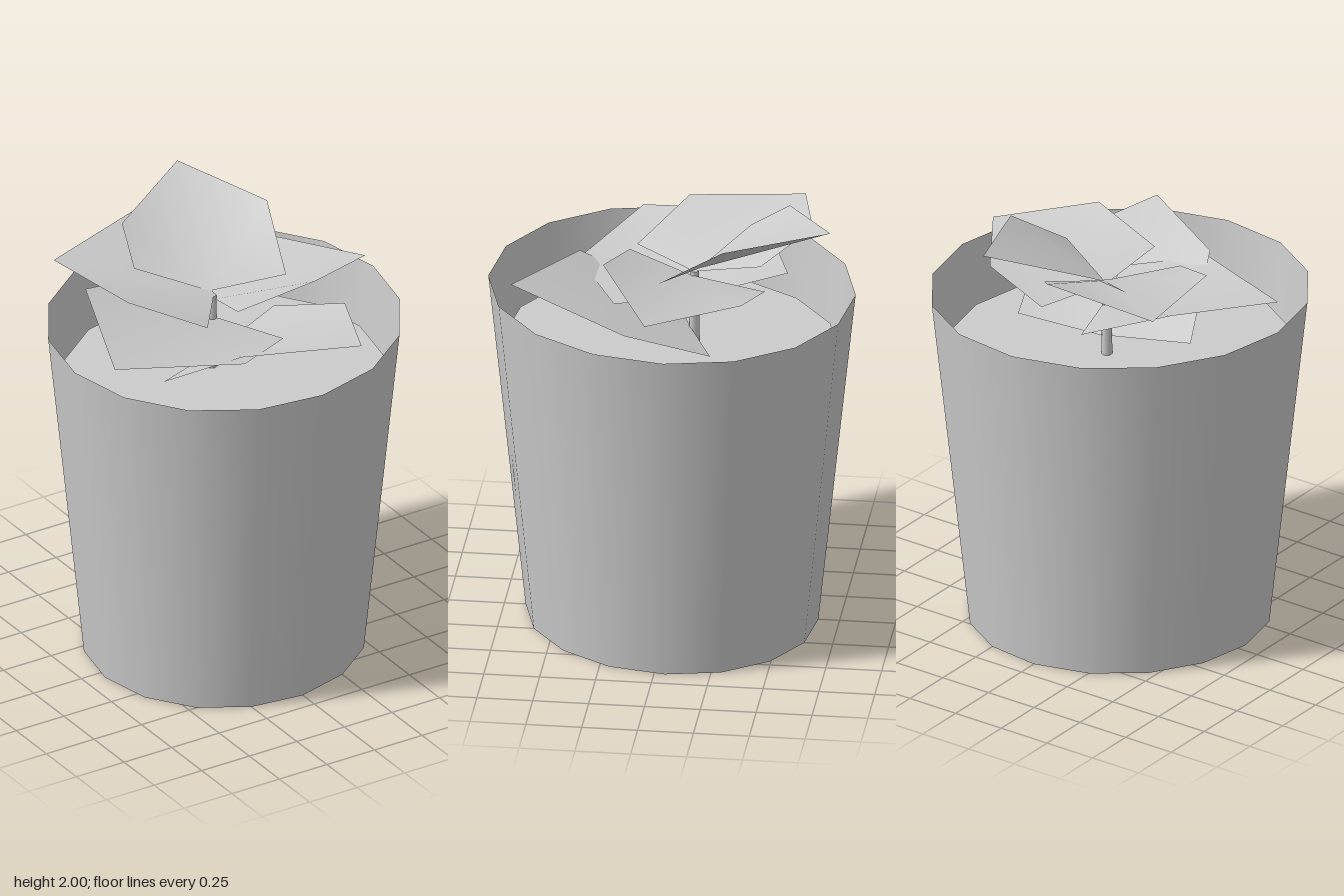
import * as THREE from 'three';

const SIDES = 16;
const SHEAR = -0.072;

function makeMaterial() {
  return new THREE.MeshStandardMaterial({ color: 0xcccccc, side: THREE.DoubleSide });
}

// The pot and soil share one slightly skewed round outline.
function skew(geometry) {
  const p = geometry.attributes.position;
  for (let i = 0; i < p.count; i++) p.setZ(i, p.getZ(i) + SHEAR * p.getX(i));
  return geometry;
}

// A leaf is a fan of four triangles: base, two corners, tip, two corners.
function leafGeometry(points) {
  const g = new THREE.BufferGeometry();
  g.setAttribute('position', new THREE.Float32BufferAttribute(points.flat(), 3));
  const index = [];
  for (let i = 1; i < points.length - 1; i++) index.push(0, i, i + 1);
  g.setIndex(index);
  g.computeVertexNormals();
  return g;
}

export function createModel() {
  const group = new THREE.Group();
  const material = makeMaterial();
  const add = (name, geometry, parent = group) => {
    const mesh = new THREE.Mesh(geometry, material);
    mesh.name = name;
    parent.add(mesh);
    return mesh;
  };

  // Tapered thin-walled pot, open at both ends
  const wall = new THREE.CylinderGeometry(0.822, 0.655, 1.602, SIDES, 1, true);
  wall.translate(0, 0.801, 0);
  add('pot', skew(wall));

  // Soil disc sunk below the rim
  const soil = new THREE.CircleGeometry(0.75, SIDES);
  soil.rotateX(-Math.PI / 2);
  soil.translate(0, 1.32, 0);
  add('soil', skew(soil));

  // Short stem
  const stem = new THREE.CylinderGeometry(0.02, 0.025, 0.38, 6);
  stem.translate(0, 1.49, -0.1);
  add('stem', stem);

  // Five folded leaves around the stem
  const leaves = new THREE.Group();
  leaves.name = 'leaves';
  group.add(leaves);
  const outlines = {
    topLeaf: [[0, 1.69, -0.12], [0.31, 1.75, 0.025], [0.4, 1.96, -0.275],
      [0.22, 2, -0.735], [-0.22, 1.92, -0.5], [-0.27, 1.79, -0.32]],
    backRightLeaf: [[0.01, 1.68, -0.1], [0.12, 1.77, -0.41], [-0.05, 1.895, -0.625],
      [-0.56, 1.82, -0.53], [-0.49, 1.82, -0.02], [-0.2, 1.7, 0.18]],
    leftLeaf: [[0.01, 1.66, -0.09], [-0.05, 1.745, 0.195], [0.31, 1.83, 0.27],
      [0.72, 1.73, 0.035], [0.45, 1.73, -0.365], [0.12, 1.65, -0.43]],
    rightLeaf: [[0.02, 1.56, -0.1], [-0.147, 1.62, -0.5], [-0.52, 1.755, -0.33],
      [-0.71, 1.655, 0.215], [-0.17, 1.63, 0.44], [0.16, 1.57, 0.24]],
    frontLeaf: [[0.04, 1.4, -0.1], [-0.35, 1.41, 0.05], [-0.18, 1.665, 0.435],
      [0.29, 1.7, 0.685], [0.54, 1.595, 0.15], [0.4, 1.45, -0.22]],
  };
  for (const [name, points] of Object.entries(outlines)) add(name, leafGeometry(points), leaves);

  return group;
}
